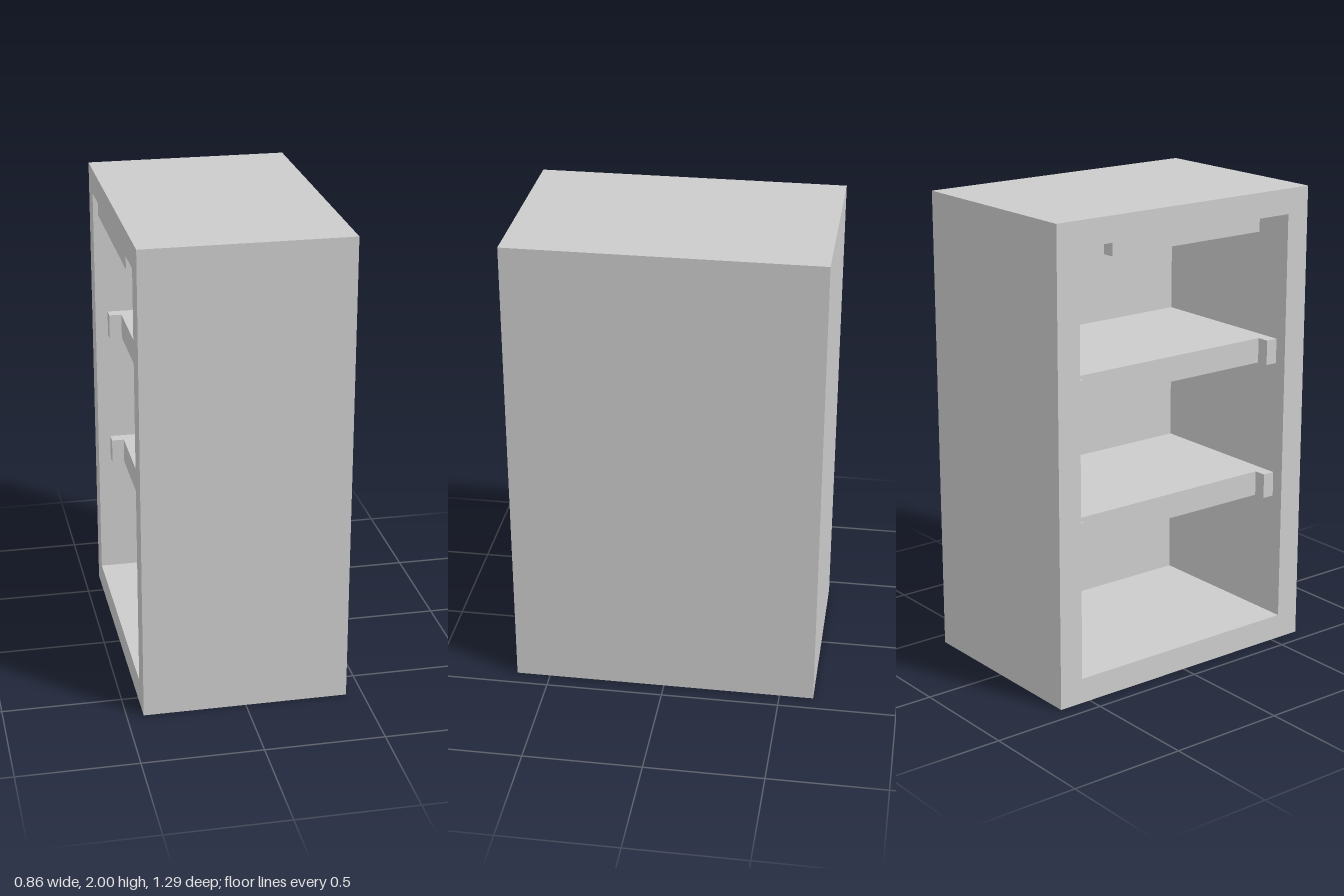
import * as THREE from 'three';

const W = 0.86, H = 2, D = 1.29;   // overall size
const T = 0.107;                   // board thickness
const S = T / 2;                   // small step for the lip and shelf tabs

export function createModel() {
  const model = new THREE.Group();
  const material = new THREE.MeshStandardMaterial({ color: 0xcccccc, flatShading: true });
  const add = (name, geometry) => {
    const mesh = new THREE.Mesh(geometry, material);
    mesh.name = name;
    model.add(mesh);
    return mesh;
  };
  const polygon = (points) => new THREE.Shape(points.map(([x, y]) => new THREE.Vector2(x, y)));
  const extrude = (shape, depth) => new THREE.ExtrudeGeometry(shape, { depth, bevelEnabled: false });

  const outer = D / 2, inner = D / 2 - T, open = -W / 2;

  // Case: four boards around an opening on the -x side, with a stop lip under the top
  const frame = polygon([[-outer, 0], [outer, 0], [outer, H], [-outer, H]]);
  frame.holes.push(polygon([[-inner, T], [-inner, H - T], [inner, H - T], [inner, T]]));
  add('caseFrame', extrude(frame, W - T).rotateY(Math.PI / 2).translate(open, 0, 0));

  // Closed panel opposite the opening
  add('closingPanel', new THREE.BoxGeometry(T, H, D)).position.set(W / 2 - T / 2, H / 2, 0);

  // Lip hanging from the top board, flush with the opening
  add('topLip', new THREE.BoxGeometry(S, S, 0.76)).position.set(open + S / 2, H - T - S / 2, 0);

  // Shelves: set back from the opening, with a small tab at each end
  const front = open + T, tab = open + S, rear = W / 2 - T;
  const plan = polygon([
    [-inner, tab], [-inner + S, tab], [-inner + S, front],
    [inner - S, front], [inner - S, tab], [inner, tab],
    [inner, rear], [-inner, rear],
  ]);
  const layFlat = new THREE.Matrix4().makeBasis(
    new THREE.Vector3(0, 0, 1), new THREE.Vector3(1, 0, 0), new THREE.Vector3(0, 1, 0));
  [['lowerShelf', 1], ['upperShelf', 2]].forEach(([name, i]) => {
    const y = T + (H - 2 * T) * i / 3 - T / 2;
    add(name, extrude(plan, T).applyMatrix4(layFlat)).position.y = y;
  });

  return model;
}
